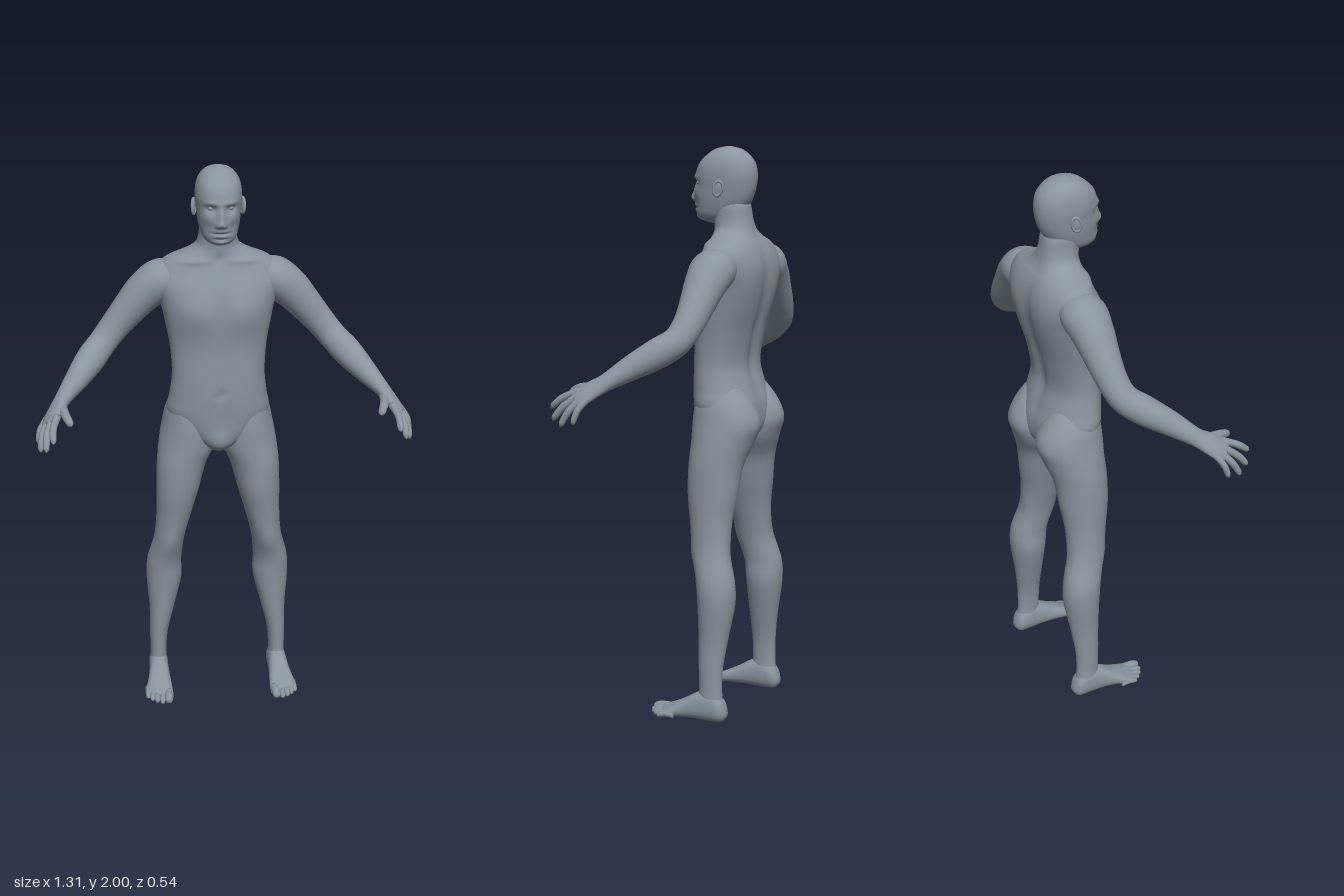
import * as THREE from 'three';

const skin = new THREE.MeshStandardMaterial({ color: 0x8a949d });
skin.name = 'slate grey skin';

const spline = (a, b, c, d, t) =>
  b + 0.5 * t * (c - a + t * (2 * a - 5 * b + 4 * c - d + t * (3 * (b - c) + d - a)));

// Smooth closed skin over cross-sections; place(row, c, s, t) gives one point of a ring.
function loft(name, rows, place, segs = 32, sub = 5, n = 2) {
  const pos = [], index = [], spans = rows.length - 1, rings = spans * sub + 1;
  const at = (i) => rows[Math.min(Math.max(i, 0), spans)];
  const power = (v) => Math.sign(v) * Math.abs(v) ** (2 / n);
  const rowAt = (j) => {
    const k = Math.min(Math.floor(j / sub), spans - 1), t = j / sub - k;
    return at(k).map((_, m) => spline(at(k - 1)[m], at(k)[m], at(k + 1)[m], at(k + 2)[m], t));
  };
  for (let j = 0; j < rings; j++) {
    const row = rowAt(j);
    for (let i = 0; i < segs; i++) {
      const a = (i / segs) * Math.PI * 2;
      pos.push(...place(row, power(Math.cos(a)), power(Math.sin(a)), j / (rings - 1)));
    }
  }
  pos.push(...place(rowAt(0), 0, 0, 0), ...place(rowAt(rings - 1), 0, 0, 1));
  const last = (rings - 1) * segs, end = rings * segs;
  for (let i = 0; i < segs; i++) {
    const k = (i + 1) % segs;
    for (let j = 0; j < rings - 1; j++) {
      const a = j * segs + i, b = j * segs + k;
      index.push(a, b, a + segs, b, b + segs, a + segs);
    }
    index.push(end, k, i, end + 1, last + i, last + k);
  }
  // Turn the faces outward whatever way the rings run
  let volume = 0;
  const p = (i) => new THREE.Vector3().fromArray(pos, i * 3);
  for (let f = 0; f < index.length; f += 3)
    volume += p(index[f]).dot(p(index[f + 1]).cross(p(index[f + 2])));
  if (volume < 0) index.reverse();
  const geometry = new THREE.BufferGeometry();
  geometry.setAttribute('position', new THREE.Float32BufferAttribute(pos, 3));
  geometry.setIndex(index);
  geometry.computeVertexNormals();
  const mesh = new THREE.Mesh(geometry, skin);
  mesh.name = name;
  return mesh;
}

// Level rings [y, centre x, half width, front z, back z], with soft bumps
// [x, y, spread x, spread y, push in z, facing]
function upright(name, rows, side, bumps = [], segs, sub, n) {
  return loft(name, rows, ([y, cx, rx, zf, zb], c, s) => {
    const x = cx + rx * c;
    let z = (zf + zb) / 2 + (s * (zf - zb)) / 2;
    for (const [bx, by, sx, sy, push, facing] of bumps) {
      const dx = ((bx ? Math.abs(x) : x) - bx) / sx, dy = (y - by) / sy;
      z += push * Math.exp(-(dx * dx + dy * dy) / 2) * Math.min(1, Math.max(0, s * facing) * 2);
    }
    return [x * side, y, z];
  }, segs, sub, n);
}

// Limb along a path of [x, y, z, width, thickness], thickness measured towards ref
function limb(name, rows, side, ref, segs, sub) {
  const path = new THREE.CatmullRomCurve3(rows.map((r) => new THREE.Vector3(r[0], r[1], r[2])), false, 'catmullrom');
  return loft(name, rows, ([x, y, z, w, h], c, s, t) => {
    const along = path.getTangent(t);
    const across = along.clone().cross(ref).normalize();
    const up = across.clone().cross(along);
    const v = new THREE.Vector3(x, y, z).addScaledVector(across, w * c).addScaledVector(up, h * s);
    return [v.x * side, v.y, v.z];
  }, segs, sub);
}

// Finger or toe: base to tip through a raised joint, with a rounded end
function digit(name, a, b, r, bend, side, ref) {
  const mix = (t, k, lift) => [...a.map((v, i) => v + (b[i] - v) * t + bend[i] * lift), r * k, r * k];
  return limb(name, [mix(0, 1.1, 0), mix(0.3, 1, 0.7), mix(0.55, 1, 1), mix(0.8, 0.92, 0.6),
    mix(0.93, 0.72, 0.2), mix(1, 0.12, 0)], side, ref, 12, 3);
}

export function createModel() {
  const body = new THREE.Group();
  body.name = 'human figure';

  // Trunk and neck
  body.add(upright('torso', [
    [0.95, 0, 0.02, -0.08, -0.16], [0.98, 0, 0.06, -0.03, -0.2], [1.03, 0, 0.13, -0.012, -0.232],
    [1.1, 0, 0.183, -0.006, -0.235], [1.17, 0, 0.175, -0.002, -0.215], [1.25, 0, 0.166, -0.002, -0.197],
    [1.35, 0, 0.172, -0.005, -0.212], [1.45, 0, 0.19, 0, -0.238], [1.52, 0, 0.206, -0.003, -0.25],
    [1.58, 0, 0.225, -0.018, -0.252], [1.63, 0, 0.215, -0.042, -0.243], [1.665, 0, 0.182, -0.055, -0.228],
    [1.69, 0, 0.122, -0.06, -0.212], [1.715, 0, 0.08, -0.06, -0.2], [1.75, 0, 0.067, -0.055, -0.19],
    [1.8, 0, 0.062, -0.05, -0.18], [1.83, 0, 0.04, -0.07, -0.16],
  ], 1, [
    [0.09, 1.49, 0.05, 0.045, 0.012, 1], [0, 1.5, 0.012, 0.06, -0.006, 1], // chest
    [0, 1.28, 0.012, 0.08, -0.004, 1], [0, 1.19, 0.009, 0.009, -0.008, 1], // midline and navel
    [0.1, 1.668, 0.05, 0.008, 0.006, 1], [0, 1.67, 0.015, 0.014, -0.008, 1], // collar bones
    [0, 1.36, 0.02, 0.17, 0.014, -1], [0.1, 1.55, 0.045, 0.07, -0.008, -1], // spine, shoulder blades
    [0, 1.0, 0.03, 0.03, 0.012, 1],
  ], 72, 6, 2.2));

  // Head with sculpted face
  body.add(upright('head', [
    [1.735, 0, 0.025, -0.03, -0.11], [1.748, 0, 0.047, 0.002, -0.13], [1.765, 0, 0.06, 0.016, -0.15],
    [1.79, 0, 0.068, 0.019, -0.172], [1.82, 0, 0.074, 0.02, -0.19], [1.86, 0, 0.078, 0.018, -0.203],
    [1.9, 0, 0.081, 0.018, -0.207], [1.94, 0, 0.077, 0.004, -0.2], [1.97, 0, 0.063, -0.025, -0.178],
    [1.99, 0, 0.04, -0.055, -0.15], [2.0, 0, 0.008, -0.095, -0.11],
  ], 1, [
    [0.032, 1.892, 0.018, 0.007, 0.006, 1], [0.034, 1.873, 0.014, 0.01, -0.012, 1], // brows, eye sockets
    [0.046, 1.838, 0.014, 0.014, 0.005, 1], [0.04, 1.805, 0.014, 0.016, -0.004, 1], // cheeks
    [0, 1.848, 0.009, 0.019, 0.013, 1], [0, 1.823, 0.01, 0.01, 0.016, 1], // nose
    [0.013, 1.817, 0.006, 0.006, 0.008, 1],
    [0, 1.797, 0.017, 0.005, 0.006, 1], [0, 1.779, 0.016, 0.005, 0.006, 1], // lips
    [0, 1.788, 0.022, 0.003, -0.006, 1], [0, 1.768, 0.022, 0.005, -0.005, 1],
    [0, 1.754, 0.02, 0.009, 0.006, 1], // chin
  ], 128, 9, 2.1));

  for (const side of [1, -1]) {
    const label = side > 0 ? 'left' : 'right';

    // Eye and ear
    const eye = new THREE.Mesh(new THREE.SphereGeometry(0.012, 16, 12), skin);
    eye.name = label + ' eye';
    eye.scale.y = 0.7;
    eye.position.set(0.033 * side, 1.874, -0.008);
    const ear = new THREE.Group();
    ear.name = label + ' ear';
    const rim = new THREE.Mesh(new THREE.TorusGeometry(0.018, 0.005, 8, 24), skin);
    rim.name = 'ear rim';
    rim.scale.set(0.85, 1.4, 1.2);
    const bowl = new THREE.Mesh(new THREE.SphereGeometry(0.018, 16, 10), skin);
    bowl.name = 'ear bowl';
    bowl.scale.set(0.85, 1.4, 0.3);
    ear.add(rim, bowl);
    ear.position.set(0.085 * side, 1.857, -0.102);
    ear.rotation.set(-0.2, side * (Math.PI / 2 + 0.35), 0);
    body.add(eye, ear);

    // Arm running into the palm
    const palm = new THREE.Vector3(-0.66, -0.73, -0.09).normalize();
    const arm = new THREE.Group();
    arm.name = label + ' arm';
    arm.add(limb('arm and palm', [
      [0.13, 1.605, -0.145, 0.06, 0.045], [0.195, 1.588, -0.142, 0.082, 0.072], [0.255, 1.545, -0.14, 0.073, 0.07],
      [0.31, 1.485, -0.138, 0.062, 0.061], [0.365, 1.42, -0.132, 0.053, 0.053], [0.412, 1.365, -0.112, 0.05, 0.05],
      [0.455, 1.325, -0.06, 0.051, 0.052], [0.505, 1.28, 0.01, 0.043, 0.042], [0.555, 1.235, 0.075, 0.033, 0.028],
      [0.578, 1.212, 0.112, 0.039, 0.022], [0.6, 1.187, 0.148, 0.043, 0.018], [0.61, 1.174, 0.167, 0.036, 0.011],
    ], side, palm, 36, 6));
    const fingers = [
      ['index finger', [0.58, 1.202, 0.168], [0.596, 1.14, 0.268], 0.0125],
      ['middle finger', [0.597, 1.19, 0.157], [0.621, 1.103, 0.248], 0.0125],
      ['ring finger', [0.61, 1.18, 0.143], [0.641, 1.087, 0.207], 0.012],
      ['little finger', [0.617, 1.177, 0.122], [0.648, 1.098, 0.155], 0.011],
      ['thumb', [0.561, 1.218, 0.105], [0.533, 1.188, 0.227], 0.0155],
    ];
    for (const [name, a, b, r] of fingers) arm.add(digit(name, a, b, r, [0.007, 0.008, 0.002], side, palm));
    body.add(arm);

    // Leg with buttock, knee and calf
    const leg = new THREE.Group();
    leg.name = label + ' leg';
    leg.add(upright('leg', [
      [1.19, 0.1, 0.045, -0.05, -0.18], [1.12, 0.098, 0.086, -0.03, -0.238], [1.05, 0.1, 0.101, -0.022, -0.267],
      [0.98, 0.108, 0.106, -0.022, -0.246], [0.9, 0.133, 0.09, -0.022, -0.218], [0.8, 0.148, 0.078, -0.025, -0.205],
      [0.7, 0.163, 0.064, -0.04, -0.192], [0.6, 0.18, 0.056, -0.057, -0.198], [0.5, 0.198, 0.063, -0.08, -0.22],
      [0.42, 0.2, 0.065, -0.088, -0.222], [0.3, 0.21, 0.046, -0.095, -0.203], [0.2, 0.222, 0.034, -0.1, -0.19],
      [0.12, 0.225, 0.03, -0.102, -0.188], [0.06, 0.225, 0.031, -0.1, -0.192], [0.03, 0.225, 0.025, -0.11, -0.185],
    ], side, [[0.18, 0.59, 0.025, 0.035, 0.008, 1], [0.18, 0.6, 0.02, 0.04, 0.006, -1]], 40, 6));

    // Foot rings [z, centre x, half width, sole y, top y, slant], then toes
    leg.add(loft('foot', [
      [-0.207, 0.225, 0.012, 0.025, 0.045, 0], [-0.19, 0.225, 0.031, 0.006, 0.085, 0], [-0.15, 0.225, 0.035, 0.003, 0.112, 0],
      [-0.1, 0.226, 0.036, 0.005, 0.104, 0], [-0.05, 0.228, 0.041, 0.006, 0.076, 0.1], [0, 0.231, 0.048, 0.005, 0.05, 0.3],
      [0.03, 0.233, 0.05, 0.004, 0.036, 0.5], [0.048, 0.234, 0.044, 0.009, 0.026, 0.5],
    ], ([z, cx, rx, y0, y1, slant], c, s) =>
      [(cx + rx * c) * side, (y0 + y1) / 2 + (s * (y1 - y0)) / 2, z - slant * rx * c], 32, 5, 2.3));
    [[0.2, 0.09, 0.0155], [0.223, 0.088, 0.011], [0.242, 0.077, 0.0105], [0.259, 0.061, 0.01], [0.274, 0.042, 0.01]]
      .forEach(([x, z, r], i) => leg.add(digit('toe ' + (i + 1), [x, r + 0.008, z - 0.065], [x + 0.002, r, z], r,
        [0, 0.005, 0], side, new THREE.Vector3(0, 1, 0))));
    body.add(leg);
  }
  return body;
}
